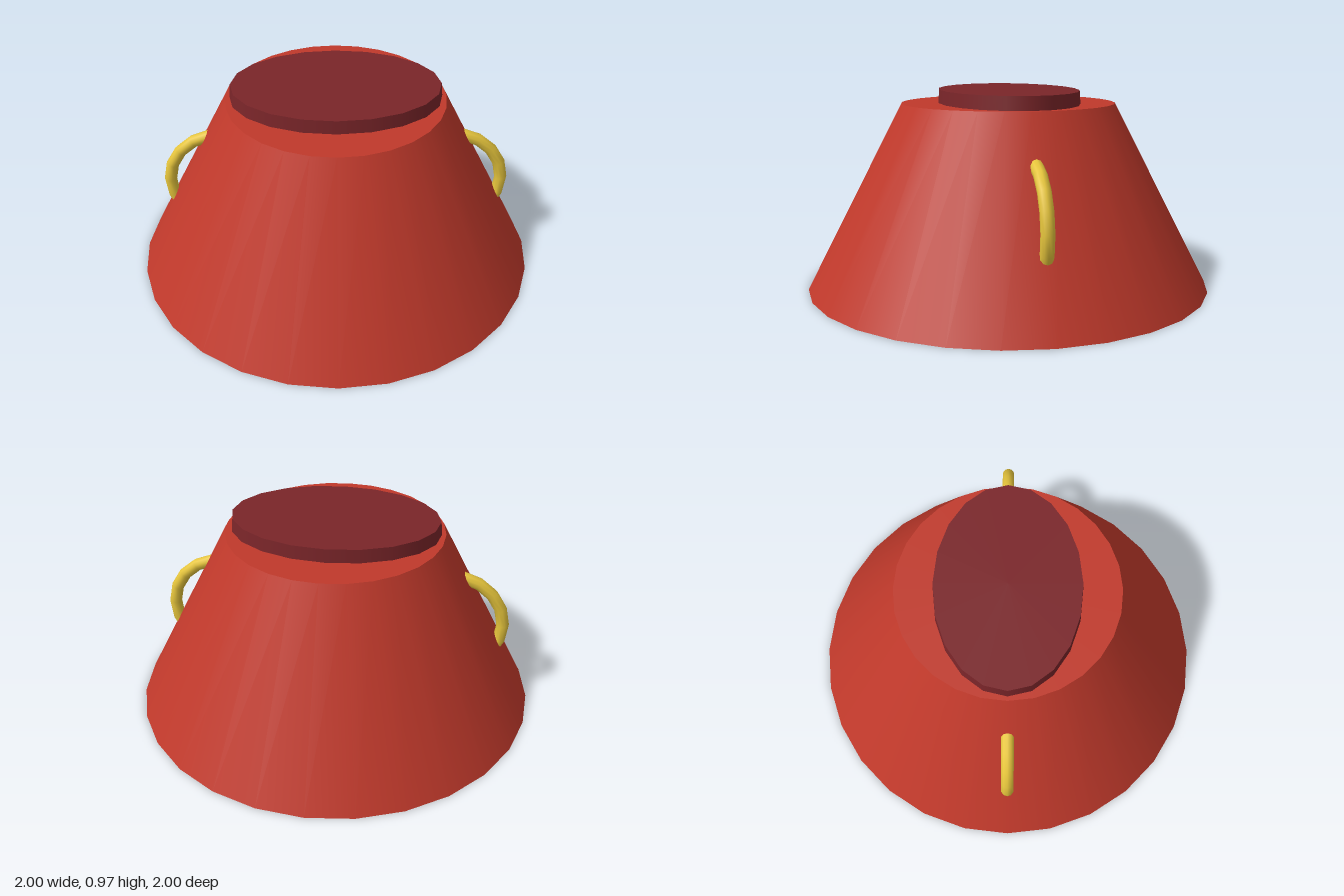
import * as THREE from 'three';

const material = (color) => new THREE.MeshStandardMaterial({ color });

function addMesh(parent, name, geometry, mat) {
  const mesh = new THREE.Mesh(geometry, mat);
  mesh.name = name;
  parent.add(mesh);
  return mesh;
}

export function createModel() {
  const model = new THREE.Group();
  const red = material(0xc0392b);
  const darkRed = material(0x7a2529);
  const gold = material(0xe6c53c);

  // Tapered body, closed at both ends
  const bodyHeight = 0.905;
  const body = addMesh(model, 'body', new THREE.CylinderGeometry(0.527, 1, bodyHeight, 28), red);
  body.position.y = bodyHeight / 2;

  // Oval lid, slightly wider at its foot
  const lidHeight = 0.075;
  const lidGeometry = new THREE.CylinderGeometry(0.5, 0.508, lidHeight, 20);
  lidGeometry.scale(1, 1, 0.68);
  const lid = addMesh(model, 'lid', lidGeometry, darkRed);
  lid.position.y = 0.97 - lidHeight / 2;

  // Curved side handles, ends sunk into the body
  const start = THREE.MathUtils.degToRad(-35);
  const sweep = THREE.MathUtils.degToRad(133);
  for (const side of [1, -1]) {
    const geometry = new THREE.TorusGeometry(0.272, 0.031, 10, 7, sweep);
    geometry.rotateZ(start);
    geometry.translate(0.566, 0.415, 0);
    if (side < 0) geometry.rotateY(Math.PI);
    addMesh(model, side > 0 ? 'leftHandle' : 'rightHandle', geometry, gold);
  }

  return model;
}
